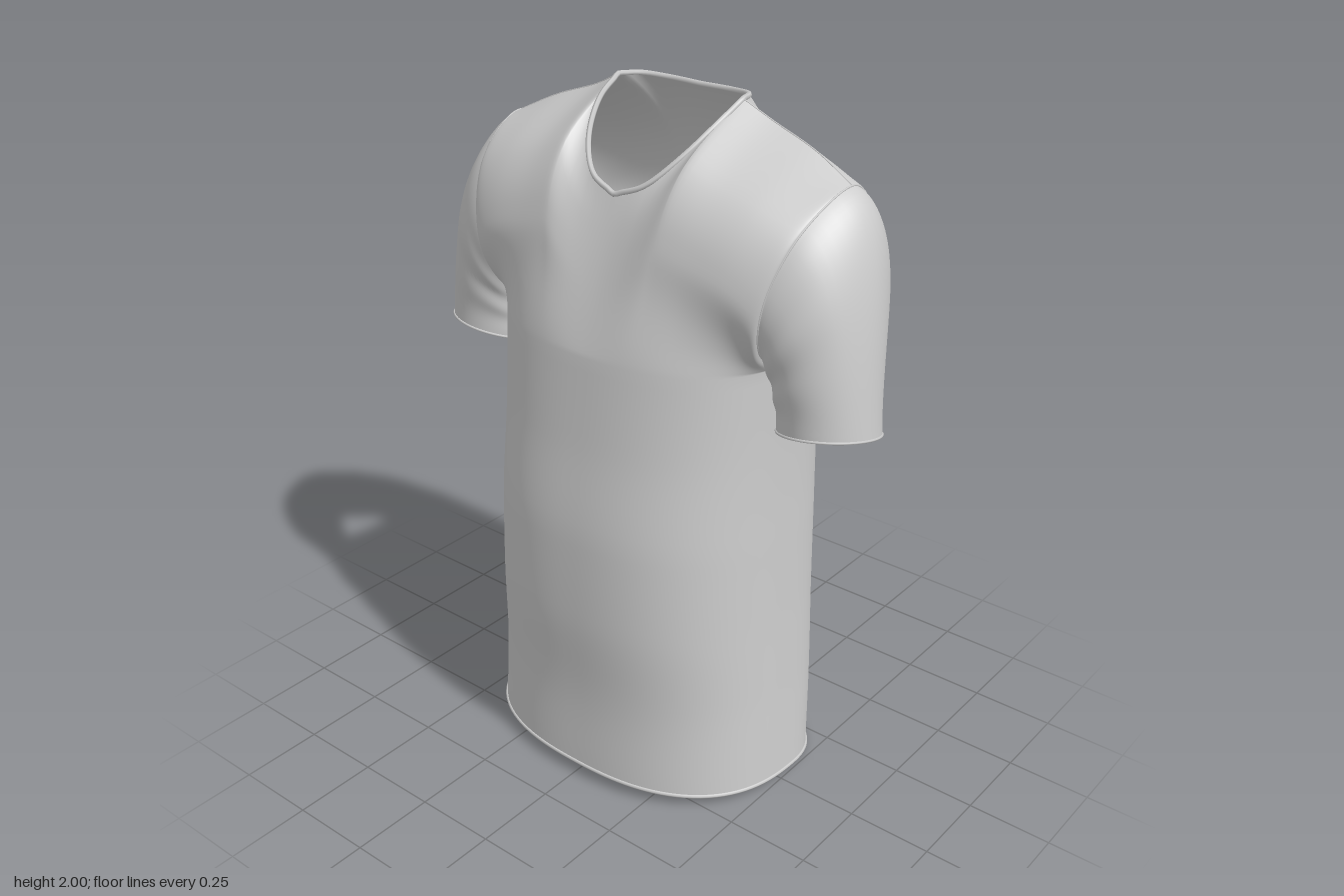
import * as THREE from 'three';
import { mergeGeometries, mergeVertices } from 'three/addons/utils/BufferGeometryUtils.js';

const V = (x, y, z) => new THREE.Vector3(x, y, z);
const curve = (pts, closed = false) =>
  new THREE.CatmullRomCurve3(pts.map((p) => V(...p)), closed, 'centripetal');
const { lerp, smoothstep } = THREE.MathUtils;

const UNDERARM = 1.36, NECK = 0.38, SIDE_Z = -0.04, SHOULDER_Z = -0.09;

// Half width, front depth and back depth at even steps from hem to underarm
const bodyProfile = curve([
  [0.495, 0.37, -0.31], [0.477, 0.365, -0.35], [0.463, 0.38, -0.362],
  [0.454, 0.375, -0.37], [0.448, 0.34, -0.372], [0.45, 0.31, -0.375],
]);
// Armhole loop: underarm, front, shoulder point, back
const armhole = curve([
  [0.45, 1.36, -0.04], [0.455, 1.41, 0.11], [0.475, 1.5, 0.17], [0.5, 1.62, 0.17],
  [0.537, 1.76, 0.09], [0.565, 1.845, SHOULDER_Z], [0.55, 1.77, -0.2],
  [0.515, 1.62, -0.275], [0.475, 1.48, -0.275], [0.452, 1.39, -0.18],
], true);
const shoulder = curve([[0.21, 2.0, -0.11], [0.3, 1.955, -0.12], [0.44, 1.905, -0.11], [0.565, 1.845, SHOULDER_Z]]);
const neckFront = curve([[0, 1.77, 0.16], [0.085, 1.803, 0.143], [0.155, 1.875, 0.08], [0.2, 1.955, -0.02], [0.21, 2.0, -0.11]]);
const neckBack = curve([[0, 1.985, -0.21], [0.11, 1.988, -0.205], [0.183, 1.995, -0.172], [0.21, 2.0, -0.11]]);

// Smooth surface from fn(u, v); u runs to the right and v up, seen from outside
function grid(fn, nu, nv) {
  const pos = [], idx = [];
  for (let j = 0; j <= nv; j++)
    for (let i = 0; i <= nu; i++) pos.push(...fn(i / nu, j / nv).toArray());
  for (let j = 0; j < nv; j++)
    for (let i = 0; i < nu; i++) {
      const a = j * (nu + 1) + i, d = a + nu + 1;
      idx.push(a, a + 1, d, a + 1, d + 1, d);
    }
  const g = new THREE.BufferGeometry();
  g.setAttribute('position', new THREE.Float32BufferAttribute(pos, 3));
  g.setIndex(idx);
  return g;
}

// Cross-section: signed share of the half width, and share of the depth
function section(f, u) {
  const c = -Math.cos(Math.PI * u) * f, s = Math.sin(Math.PI * u);
  const e = f > 0 ? 0.81 : 0.75;
  const r = Math.abs(c) ** e;
  let h = s < 1e-6 ? 0 : s ** e;
  if (f < 0) h *= 1.02 - 0.04 * Math.exp(-((r / 0.28) ** 2));
  return [Math.sign(c) * r, h];
}

// Body below the underarm; f is +1 for the front panel, -1 for the back
function bodyPoint(f, u, v) {
  const k = bodyProfile.getPoint(v), [q, h] = section(f, u);
  const z = lerp(SIDE_Z, f > 0 ? k.y : k.z, h);
  return V(q * k.x, lerp(0.032 + 0.055 * z, UNDERARM, v), z);
}

// Panel above the underarm, ending at shoulder seams and neckline
function yokePoint(f, u, v) {
  const [q, h] = section(f, u);
  const r = Math.abs(q), neck = f > 0 ? neckFront : neckBack;
  const T = r > NECK ? shoulder.getPoint((r - NECK) / (1 - NECK)) : neck.getPoint(r / NECK);
  const E = armhole.getPoint(f > 0 ? v / 2 : (1 - v / 2) % 1);
  // depth runs from the armhole edge to the centre line
  const neckZ = neck.getPoint(0).z;
  const centreZ = lerp(f > 0 ? 0.31 : -0.375, neckZ, v ** (f > 0 ? 1.1 : 3.2));
  const edgeZ = lerp(lerp(SIDE_Z, SHOULDER_Z, v), E.z, lerp(smoothstep(v, 0, 0.5), 1, r ** 10));
  const shape = lerp(h, (T.z - SHOULDER_Z) / (neckZ - SHOULDER_Z), v ** (f > 0 ? 2.3 : 3.8));
  const w = r ** 6;
  return V(
    Math.sign(q) * (lerp(r * 0.45, T.x, v) + w * (E.x - lerp(0.45, 0.565, v))),
    lerp(UNDERARM, T.y, v) + w * (E.y - lerp(UNDERARM, 1.845, v)),
    lerp(edgeZ, centreZ, shape),
  );
}

function cuffPoint(t) {
  const a = t * Math.PI * 2, c = Math.cos(a), s = Math.sin(a);
  return V(0.595 - 0.135 * c, 1.205 - 0.02 * c + 0.033 * s, 0.145 * s);
}

// Sleeve: bezier strands from the cuff up to the armhole
function sleevePoint(side, u, v) {
  const t = side > 0 ? u : 1 - u;
  const top = 0.5 - 0.5 * Math.cos(t * Math.PI * 2), front = Math.sin(t * Math.PI * 2);
  const P0 = armhole.getPoint(t % 1), P3 = cuffPoint(t);
  const P1 = P0.clone().add(V(0.015 + 0.105 * top, -0.06, front > 0 ? 0 : 0.02 * front));
  const P2 = P3.clone().add(V(-0.03 * top, 0.06 + 0.21 * top, front > 0 ? 0 : 0.02 * front));
  const q = new THREE.CubicBezierCurve3(P3, P2, P1, P0).getPoint(v);
  // soft folds running out from the front of the armhole
  const fold = Math.sin(v * 16 + t * 14) * 0.005 * Math.sin(Math.PI * v) * (1 - top);
  return V(side * q.x, q.y, q.z + fold);
}

export function createModel() {
  const group = new THREE.Group();
  const cloth = new THREE.MeshStandardMaterial({ color: 0xcccccc, side: THREE.DoubleSide });
  const add = (name, geo) => {
    const m = new THREE.Mesh(geo, cloth);
    m.name = name;
    group.add(m);
  };
  const smooth = (parts) => {
    const g = mergeVertices(mergeGeometries(parts), 1e-4);
    g.computeVertexNormals();
    return g;
  };
  const piping = (name, pts, radius, closed) =>
    add(name, new THREE.TubeGeometry(new THREE.CatmullRomCurve3(pts, closed), 120, radius, 6, closed));
  const sample = (n, fn) => Array.from({ length: n }, (_, i) => fn(i / n));

  // Torso: front and back panels, open at hem, armholes and neck
  add('torso', smooth([1, -1].flatMap((f) => [
    grid((u, v) => bodyPoint(f, u, v), 96, 36),
    grid((u, v) => yokePoint(f, u, v), 96, 32),
  ])));

  // Hem edge
  piping('hem', sample(80, (t) => (t < 0.5 ? bodyPoint(1, t * 2, 0) : bodyPoint(-1, t * 2 - 1, 0))), 0.006, true);

  // Neckband
  const mirror = (p) => V(-p.x, p.y, p.z);
  const nf = neckFront.getPoints(14), nb = neckBack.getPoints(10);
  const right = [...nf, ...nb.slice(0, -1).reverse()];
  piping('neckband', [...right, ...right.slice(1, -1).reverse().map(mirror)], 0.008, true);

  // Sleeves with cuffs and seams
  for (const side of [1, -1]) {
    const label = side > 0 ? 'left' : 'right';
    const flip = (p) => (side > 0 ? p : mirror(p));
    add(label + 'Sleeve', smooth([grid((u, v) => sleevePoint(side, u, v), 56, 28)]));
    piping(label + 'Cuff', sample(40, (t) => flip(cuffPoint(t))), 0.004, true);
    piping(label + 'ArmholeSeam', sample(60, (t) => flip(armhole.getPoint(t))), 0.003, true);
    piping(label + 'ShoulderSeam', shoulder.getPoints(20).map(flip), 0.002, false);
  }

  // Rest on the ground, centred
  const box = new THREE.Box3().setFromObject(group);
  const mid = box.getCenter(V(0, 0, 0));
  for (const m of group.children) m.geometry.translate(-mid.x, -box.min.y, -mid.z);
  return group;
}
